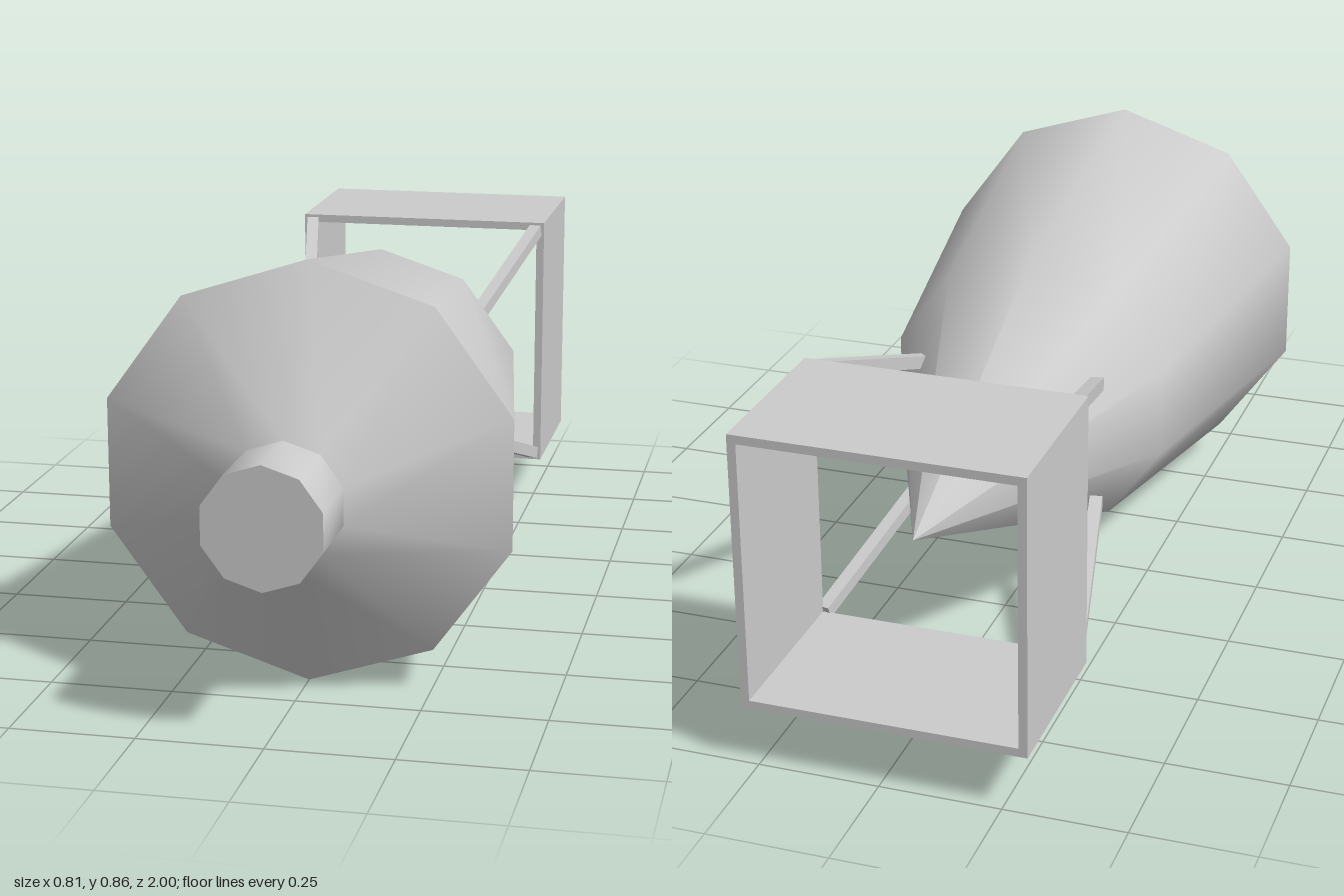
import * as THREE from 'three';
import { toCreasedNormals } from 'three/addons/utils/BufferGeometryUtils.js';

const AXIS_Y = 0.428;          // height of the body axis
const TAIL_X = -0.01;          // the tail box sits slightly off centre
const TAIL_Y = 0.415;

export function createModel() {
  const model = new THREE.Group();
  const material = new THREE.MeshStandardMaterial({ color: 0xcccccc });

  const add = (name, geometry) => {
    const mesh = new THREE.Mesh(geometry, material);
    mesh.name = name;
    model.add(mesh);
    return mesh;
  };

  // Ten-sided body with pointed tail and blunt nose fuze: [radius, z]
  const profile = [
    [0, -0.79], [0.311, -0.08], [0.428, 0.63],
    [0.122, 0.83], [0.122, 1], [0, 1],
  ].map(([r, z]) => new THREE.Vector2(r, z));
  const bodyGeometry = new THREE.LatheGeometry(profile, 10);
  bodyGeometry.rotateX(Math.PI / 2);
  const body = add('body', toCreasedNormals(bodyGeometry, THREE.MathUtils.degToRad(45)));
  body.position.y = AXIS_Y;

  // Square open-ended tail box
  const square = (Type, h) => new Type([[-h, -h], [h, -h], [h, h], [-h, h]]
    .map(([x, y]) => new THREE.Vector2(x, y)));
  const frame = square(THREE.Shape, 0.292);
  frame.holes.push(square(THREE.Path, 0.274));
  const tailBox = add('tailBox', new THREE.ExtrudeGeometry(frame, { depth: 0.37, bevelEnabled: false }));
  tailBox.position.set(TAIL_X, TAIL_Y, -1);

  // Four struts from the body to the corners of the tail box
  for (const sx of [-1, 1]) {
    for (const sy of [-1, 1]) {
      const start = new THREE.Vector3(TAIL_X + sx * 0.272, TAIL_Y + sy * 0.274, -0.63);
      const end = new THREE.Vector3(TAIL_X + sx * 0.19, TAIL_Y + sy * 0.135, -0.235);
      const strut = add(
        `${sy > 0 ? 'upper' : 'lower'}${sx > 0 ? 'Left' : 'Right'}Strut`,
        new THREE.BoxGeometry(0.027, 0.027, start.distanceTo(end)),
      );
      strut.position.copy(start).lerp(end, 0.5);
      strut.lookAt(end);
    }
  }

  return model;
}
